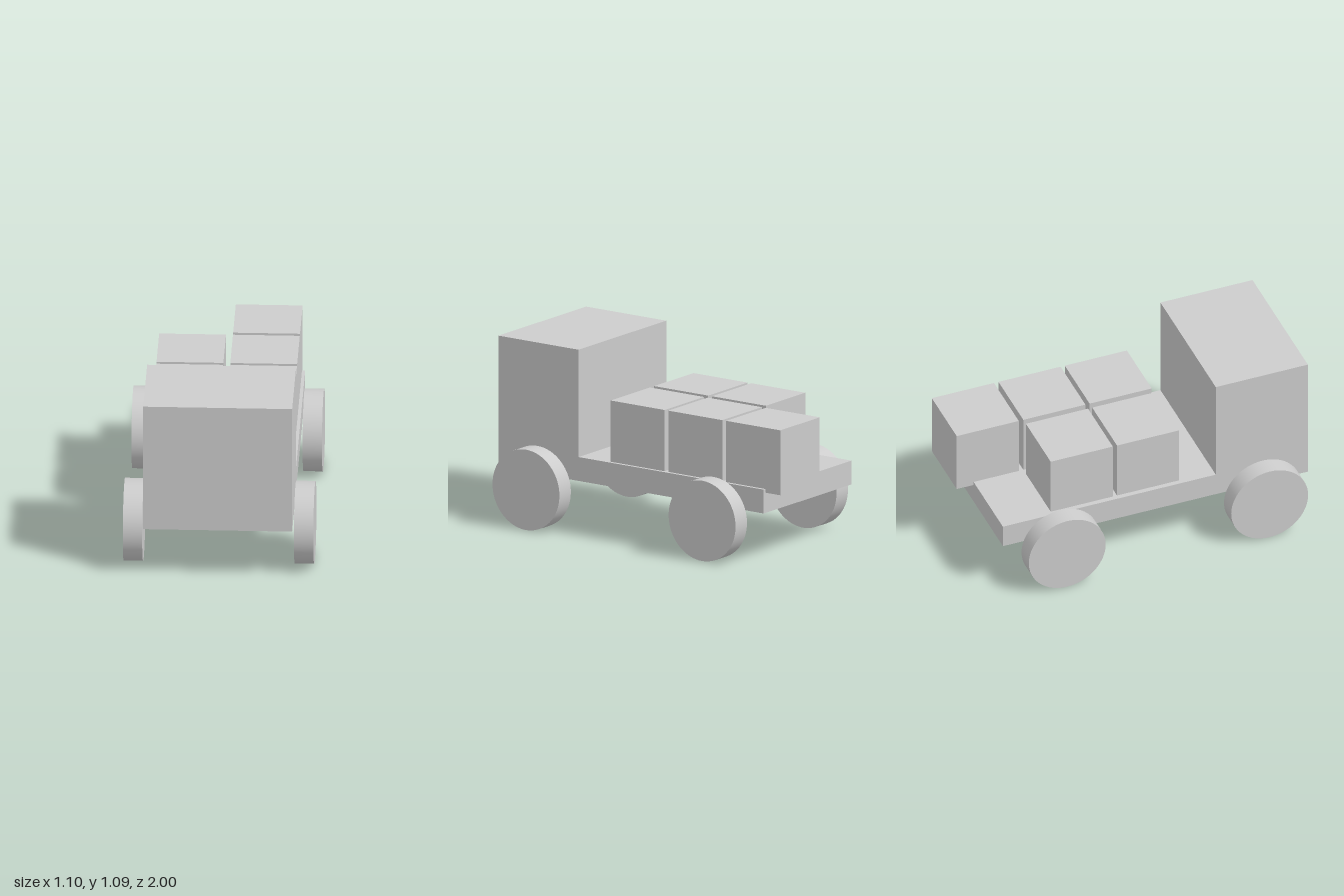
import * as THREE from 'three';

export function createModel() {
  const model = new THREE.Group();
  model.name = 'truck';
  const grey = new THREE.MeshStandardMaterial({ color: 0xcccccc });
  grey.name = 'light grey';

  const add = (name, geometry, x, y, z) => {
    const mesh = new THREE.Mesh(geometry, grey);
    mesh.name = name;
    mesh.position.set(x, y, z);
    model.add(mesh);
    return mesh;
  };

  // Cab and flat bed: one L-shaped side profile (z, y) extruded across the width
  const width = 0.86;
  const profile = new THREE.Shape(
    [[-0.895, 0.31], [1, 0.31], [1, 1.09], [0.428, 1.09], [0.428, 0.452], [-0.895, 0.452]]
      .map(([z, y]) => new THREE.Vector2(z, y))
  );
  const bodyGeometry = new THREE.ExtrudeGeometry(profile, { depth: width, bevelEnabled: false });
  bodyGeometry.rotateY(-Math.PI / 2);
  add('cabAndBed', bodyGeometry, width / 2, 0, 0);

  // Wheels
  const wheelGeometry = new THREE.CylinderGeometry(0.239, 0.239, 0.112, 64);
  wheelGeometry.rotateZ(Math.PI / 2);
  for (const [end, z] of [['front', 0.715], ['rear', -0.543]]) {
    for (const [side, s] of [['Left', 1], ['Right', -1]]) {
      add(`${end}${side}Wheel`, wheelGeometry, s * 0.494, 0.239, z);
    }
  }

  // Cargo crates, the last one on the left overhanging the tail
  const size = 0.386;
  const crateGeometry = new THREE.BoxGeometry(size, size, size);
  const rows = [0.019, -0.393, -0.807];
  for (const [side, x, count] of [['left', 0.218, 3], ['right', -0.208, 2]]) {
    for (let i = 0; i < count; i++) {
      add(`${side}Crate${i + 1}`, crateGeometry, x, 0.623, rows[i]);
    }
  }
  return model;
}
